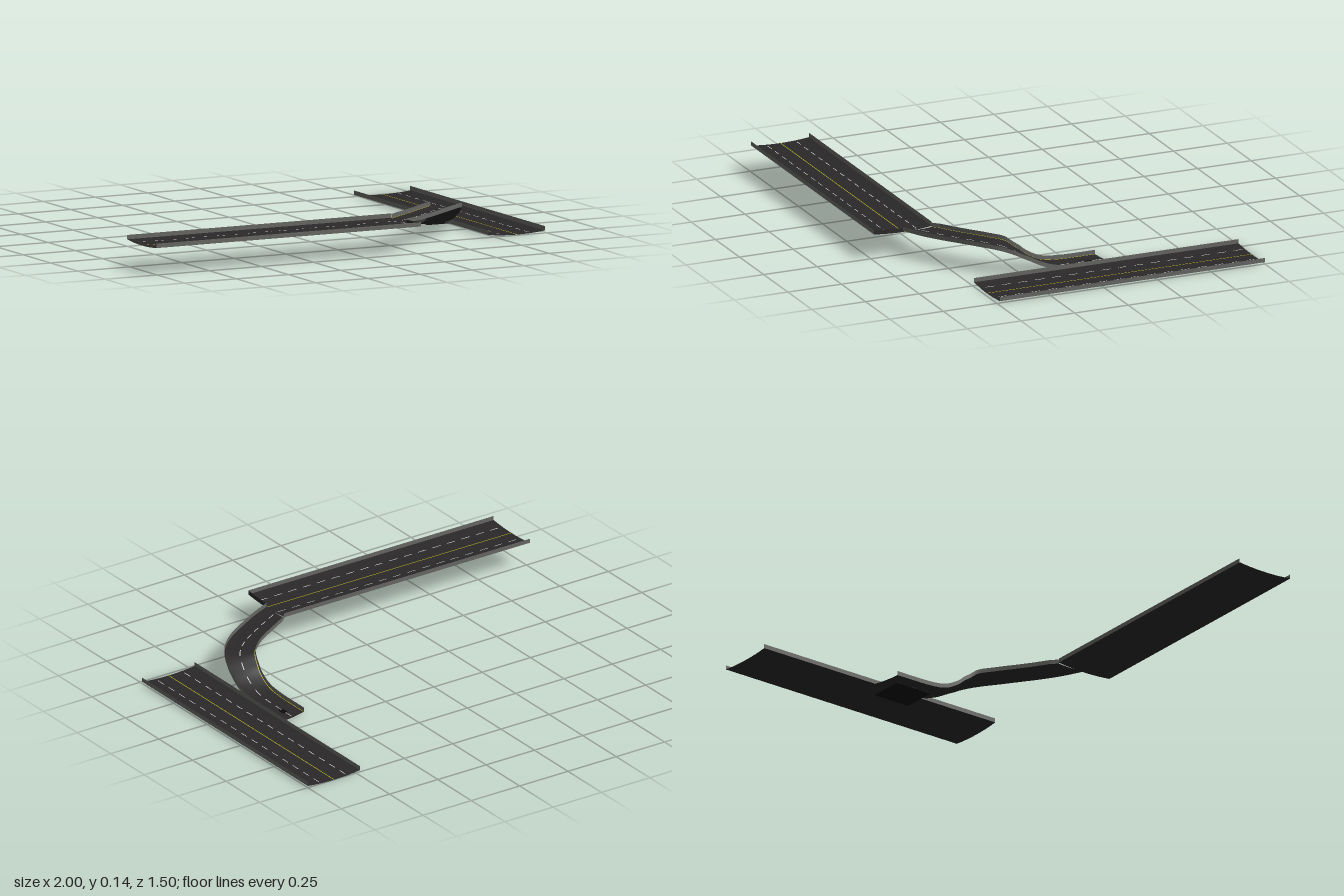
import * as THREE from 'three';

const paint = (color) => new THREE.MeshStandardMaterial({ color, side: THREE.DoubleSide });
const asphalt = paint(0x2a2829), concrete = paint(0x666663), white = paint(0xcfcfcf), yellow = paint(0xb5b01c), black = paint(0x0c0c0c);
const WALL = 0.019, SAG = 0.008;

// Sweep a profile of [sideways, up] points along a path, between two fractions of its length
function sweep(path, t0, t1, steps, profile) {
  const pos = [], idx = [], m = profile.length;
  for (let i = 0; i <= steps; i++) {
    const t = t0 + (t1 - t0) * i / steps;
    const p = path.curve.getPointAt(t), d = path.curve.getTangentAt(t);
    const side = new THREE.Vector3(-d.z, 0, d.x).normalize();
    // Ends can be mitred to meet the neighbouring road
    if (path.startSide && t < 0.08) side.lerp(path.startSide, 1 - t / 0.08);
    if (path.endSide && t > 0.9) side.lerp(path.endSide, (t - 0.9) / 0.1);
    for (const [u, y] of profile) pos.push(p.x + side.x * u, p.y + y, p.z + side.z * u);
  }
  for (let i = 0; i < steps; i++) {
    for (let j = 0; j < m - 1; j++) {
      const a = i * m + j, b = a + 1, c = a + m, d = c + 1;
      idx.push(a, b, c, b, d, c);
    }
  }
  const g = new THREE.BufferGeometry();
  g.setAttribute('position', new THREE.Float32BufferAttribute(pos, 3));
  g.setIndex(idx);
  g.computeVertexNormals();
  return g;
}

function add(group, name, geometry, material) {
  const mesh = new THREE.Mesh(geometry, material);
  mesh.name = name;
  group.add(mesh);
}

// A dished deck with low side walls and painted lines
function road(name, path, half, steps, sag, lines) {
  const group = new THREE.Group();
  group.name = name;
  const dish = (u) => sag * (u / half) ** 2;
  const deck = [];
  for (let k = -5; k <= 5; k++) deck.push([half * k / 5, dish(half * k / 5)]);
  add(group, 'deck', sweep(path, 0, 1, steps, deck), asphalt);
  add(group, 'leftWall', sweep(path, 0, 1, steps, [[-half, sag], [-half, sag + WALL]]), concrete);
  add(group, 'rightWall', sweep(path, 0, 1, steps, [[half, sag + WALL], [half, sag]]), concrete);
  const length = path.curve.getLength();
  for (const { at, width, material, dashed } of lines) {
    const strip = [-1, 1].map((s) => [at + s * width / 2, dish(at + s * width / 2) + 0.0015]);
    if (!dashed) {
      add(group, 'solidLine', sweep(path, 0, 1, steps, strip), material);
      continue;
    }
    const count = Math.round(length / 0.075);
    for (let i = 0; i < count; i++) {
      add(group, 'laneDash', sweep(path, (i + 0.3) / count, (i + 0.85) / count, 3, strip), material);
    }
  }
  return group;
}

export function createModel() {
  const model = new THREE.Group();
  const V = (x, y, z) => new THREE.Vector3(x, y, z);
  const straight = (a, b) => ({ curve: new THREE.LineCurve3(a, b) });
  const mainLines = [
    { at: 0, width: 0.004, material: yellow },
    { at: -0.068, width: 0.004, material: white, dashed: true },
    { at: 0.068, width: 0.004, material: white, dashed: true },
  ];

  // Two main roads at different heights
  const upper = road('upperRoad', straight(V(-1, 0.107, 0.61), V(0.27, 0.107, 0.61)), 0.135, 1, SAG, mainLines);
  model.add(upper);
  model.add(road('lowerRoad', straight(V(0.865, 0, 0.485), V(0.865, 0, -0.75)), 0.135, 1, SAG, mainLines));

  // Closing strip on the half of the upper road beside the ramp
  const cap = new THREE.Shape();
  cap.moveTo(0, 0);
  cap.quadraticCurveTo(0.0675, 0, 0.135, SAG);
  cap.lineTo(0.135, SAG + WALL);
  cap.quadraticCurveTo(0.0675, WALL, 0, WALL);
  const capGeometry = new THREE.ShapeGeometry(cap, 8);
  capGeometry.rotateY(-Math.PI / 2).translate(0.27, 0.107, 0.61);
  add(upper, 'endStrip', capGeometry, asphalt);

  // Curving ramp that drops from the upper road to the lower one
  const ramp = {
    curve: new THREE.CatmullRomCurve3([
      V(0.27, 0.108, 0.5425), V(0.4, 0.111, 0.468), V(0.55, 0.116, 0.37), V(0.622, 0.108, 0.3),
      V(0.651, 0.072, 0.23), V(0.66, 0.036, 0.17), V(0.662, 0.012, 0.11), V(0.662, 0.003, 0.04),
      V(0.662, 0.001, -0.05), V(0.662, 0.001, -0.152),
    ]),
    startSide: V(0, 0, 1),
    endSide: V(1, 0, -0.19),
  };
  model.add(road('ramp', ramp, 0.0665, 60, 0.003, [
    { at: 0, width: 0.004, material: white, dashed: true },
    { at: -0.063, width: 0.003, material: yellow },
  ]));

  // Dark plate under the junction of ramp and lower road
  const plate = new THREE.BoxGeometry(0.16, 0.001, 0.18);
  plate.translate(0.73, 0.0005, -0.01);
  add(model, 'junctionPlate', plate, black);

  return model;
}
